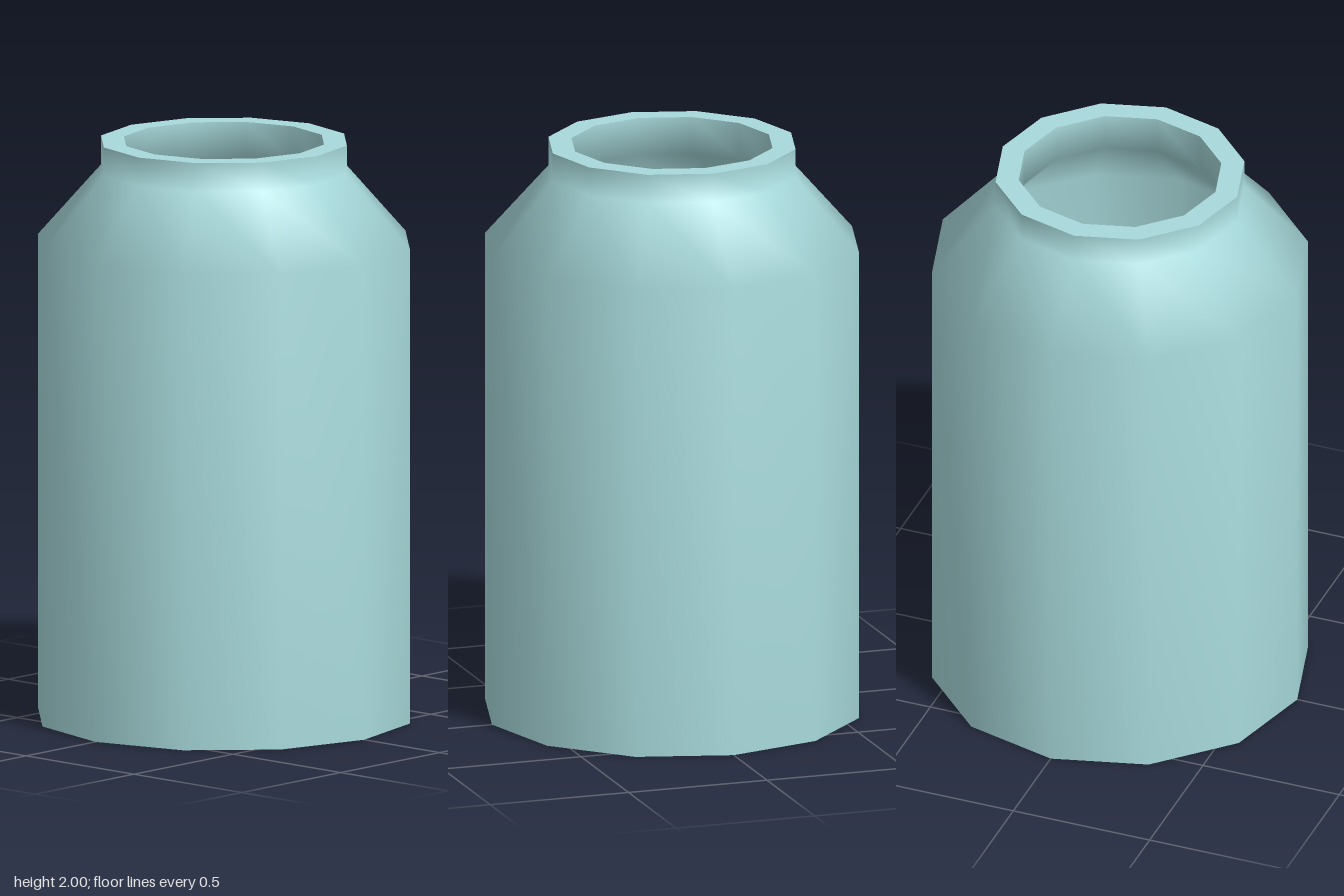
import * as THREE from 'three';

const SIDES = 12;

export function createModel() {
  const jar = new THREE.Group();
  jar.name = 'jar';

  const paleTeal = new THREE.MeshStandardMaterial({ color: 0xa8dadc });
  paleTeal.name = 'paleTeal';

  // Each section is smooth within itself and meets the next at a sharp edge
  const addSection = (name, profile) => {
    const points = profile.map(([r, y]) => new THREE.Vector2(r, y));
    const mesh = new THREE.Mesh(new THREE.LatheGeometry(points, SIDES), paleTeal);
    mesh.name = name;
    jar.add(mesh);
  };

  // Underside
  addSection('base', [[0, 0], [0.65, 0]]);
  // Body, sloped shoulder and short neck
  addSection('outerWall', [[0.65, 0], [0.65, 1.65], [0.43, 1.9], [0.43, 2]]);
  // Flat ring around the mouth
  addSection('rim', [[0.43, 2], [0.35, 2]]);
  // Hollow interior following the outside
  addSection('innerWall', [[0.35, 2], [0.35, 1.87], [0.57, 1.62], [0.57, 0.08]]);
  addSection('innerFloor', [[0.57, 0.08], [0, 0.08]]);

  return jar;
}
